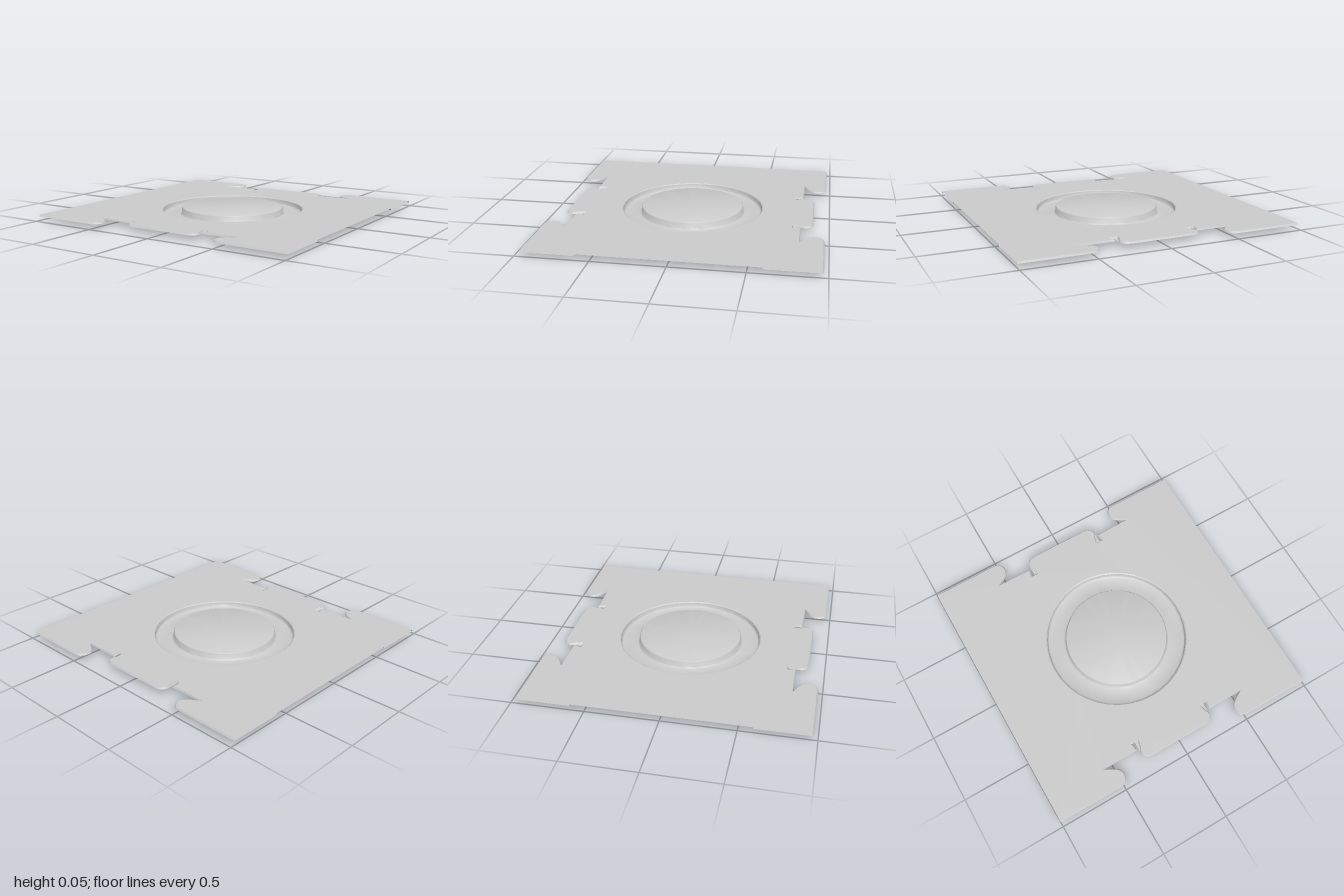
import * as THREE from 'three';
import { toCreasedNormals } from 'three/addons/utils/BufferGeometryUtils.js';

const SHEET_Y = 0.042; // flat sheet level
const HEM_Y = 0.03;    // underside of the folded hems
const FOLD_Z = 0.785;  // hems mirror the edge outline about this line
const LIP = 0.008;     // slant of the pressed edges

const material = new THREE.MeshStandardMaterial({ color: 0xcccccc, side: THREE.DoubleSide });

// Edge outline in (x, z), from the left corner towards the middle
const CORNER = [[1, 0.97], [0.51, 0.97], [0.48, 0.96], [0.46, 0.93], [0.455, 0.89], [0.47, 0.86], [0.5, 0.835], [0.56, 0.805]];
const SLOT = [[0.295, 0.805], [0.305, 0.75], [0.26, 0.75], [0.272, 0.8]];
const TAB = [[0.285, 0.82], [0.285, 0.845], [0.272, 0.87], [0.25, 0.884], [0.22, 0.888]];

const mirrorX = (pts) => pts.map(([x, z]) => [-x, z]).reverse();
const both = (pts) => [...pts, ...mirrorX(pts)];
const fold = (pts) => pts.map(([x, z]) => [x, 2 * FOLD_Z - z]);

// Shift an open polyline sideways, with mitred corners
function offset(pts, d) {
  return pts.map(([x, z], i) => {
    const dir = (a, b) => new THREE.Vector2(b[0] - a[0], b[1] - a[1]).normalize();
    const t0 = i ? dir(pts[i - 1], pts[i]) : dir(pts[0], pts[1]);
    const t1 = i < pts.length - 1 ? dir(pts[i], pts[i + 1]) : t0;
    const n0 = new THREE.Vector2(-t0.y, t0.x);
    const n = n0.clone().add(new THREE.Vector2(-t1.y, t1.x)).normalize();
    const k = d / Math.max(0.6, n.dot(n0));
    return [x + n.x * k, z + n.y * k];
  });
}

function add(parent, name, geometry) {
  const mesh = new THREE.Mesh(geometry, material);
  mesh.name = name;
  parent.add(mesh);
}

// Horizontal panel from an outline in (x, z)
function panel(pts, y, holeRadius = 0) {
  const shape = new THREE.Shape(pts.map(([x, z]) => new THREE.Vector2(x, z)));
  if (holeRadius) shape.holes.push(new THREE.Path().absarc(0, 0, holeRadius, 0, Math.PI * 2, true));
  return new THREE.ShapeGeometry(shape, 20).rotateX(Math.PI / 2).translate(0, y, 0);
}

// Slanted strip between the hem level and the sheet level
function lip(pts) {
  const top = offset(pts, LIP);
  const pos = [];
  for (let i = 0; i < pts.length - 1; i++) {
    const a = [pts[i][0], HEM_Y, pts[i][1]], b = [pts[i + 1][0], HEM_Y, pts[i + 1][1]];
    const c = [top[i + 1][0], SHEET_Y, top[i + 1][1]], d = [top[i][0], SHEET_Y, top[i][1]];
    pos.push(...a, ...c, ...b, ...a, ...d, ...c);
  }
  const g = new THREE.BufferGeometry();
  g.setAttribute('position', new THREE.Float32BufferAttribute(pos, 3));
  g.computeVertexNormals();
  return toCreasedNormals(g, 0.7);
}

export function createModel() {
  const model = new THREE.Group();
  model.name = 'embossedPlate';

  // Flat sheet with a round opening for the pressing
  const edge = both([...CORNER, ...SLOT, ...TAB]);
  const inner = offset(edge, LIP);
  add(model, 'sheet', panel([...inner, ...inner.map(([x, z]) => [-x, -z])], SHEET_Y, 0.52));

  // Ring groove and raised centre disc
  const profile = [[0, 0.055], [0.36, 0.055], [0.368, 0.052], [0.372, 0.046], [0.376, 0.01], [0.381, 0.003],
    [0.388, 0], [0.496, 0], [0.503, 0.003], [0.508, 0.01], [0.512, 0.036], [0.52, SHEET_Y]];
  const pressing = new THREE.LatheGeometry(profile.map(([r, y]) => new THREE.Vector2(r, y)).reverse(), 40);
  add(model, 'pressedRing', toCreasedNormals(pressing, 0.6));

  // Folded hems at the front and back
  for (const [name, turn] of [['frontEdge', 0], ['backEdge', Math.PI]]) {
    const end = new THREE.Group();
    end.name = name;
    end.rotation.y = turn;
    add(end, 'edgeLip', lip(edge));
    const hems = { leftHem: CORNER, tabHem: both(TAB), rightHem: mirrorX(CORNER) };
    for (const [hemName, pts] of Object.entries(hems)) {
      const back = fold(pts);
      add(end, hemName, panel([...pts, ...[...back].reverse()], HEM_Y));
      add(end, hemName + 'Lip', lip(back));
    }
    model.add(end);
  }
  return model;
}
